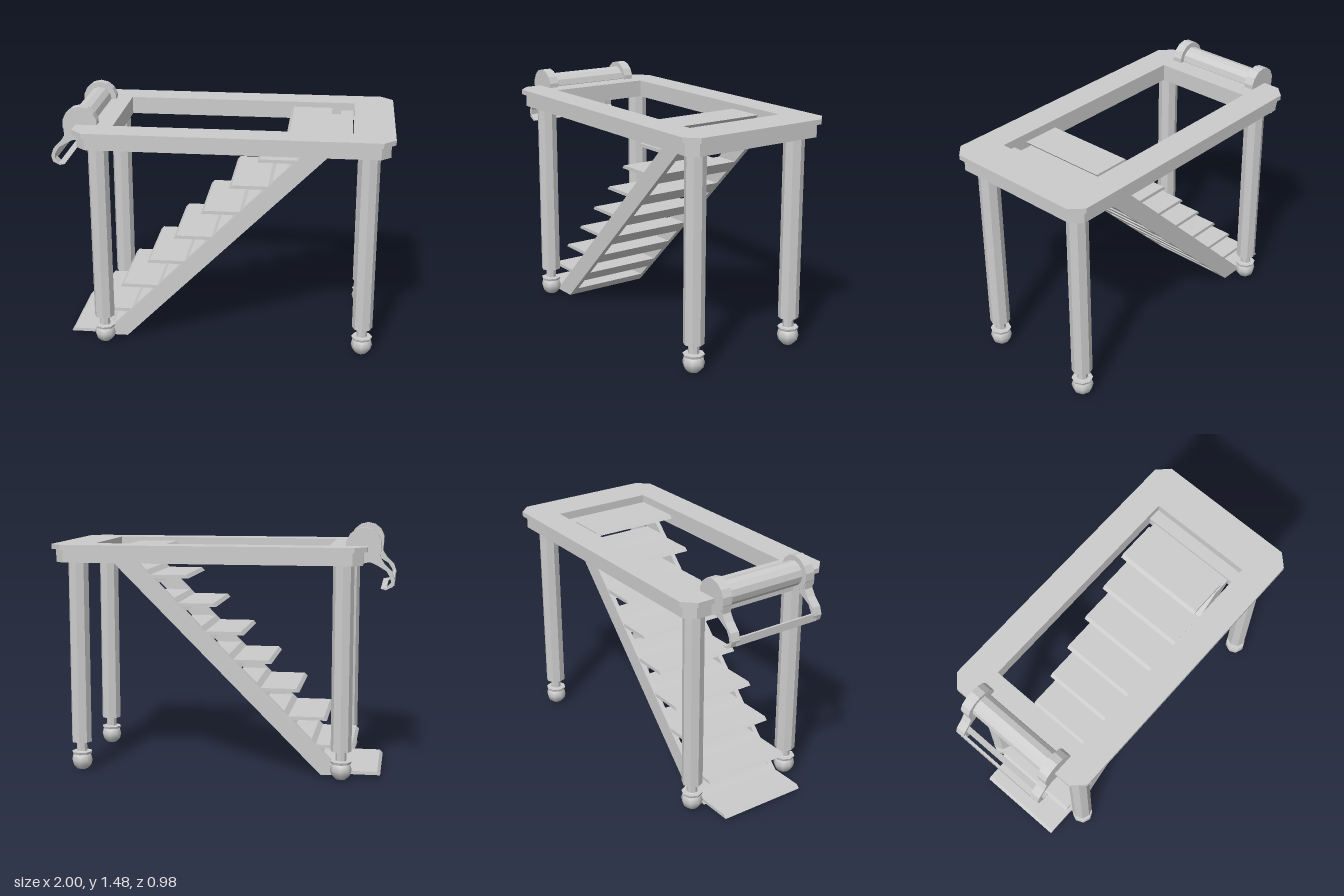
import * as THREE from 'three';

const flat = new THREE.MeshStandardMaterial({ color: 0xcccccc, flatShading: true });
const smooth = new THREE.MeshStandardMaterial({ color: 0xcccccc });

function add(parent, name, geometry, x = 0, y = 0, z = 0, material = flat) {
  const mesh = new THREE.Mesh(geometry, material);
  mesh.name = name;
  mesh.position.set(x, y, z);
  parent.add(mesh);
  return mesh;
}

const toShape = (pts) => new THREE.Shape(pts.map(([x, y]) => new THREE.Vector2(x, y)));

// Side profile in x/y, extruded from z0 to z1
function slab(pts, z0, z1) {
  const g = new THREE.ExtrudeGeometry(toShape(pts), { depth: z1 - z0, bevelEnabled: false });
  return g.translate(0, 0, z0);
}

// Rectangular ring with cut corners and a rectangular opening
function ring(x0, x1, halfZ, cut, y0, y1) {
  const s = toShape([
    [x0 + cut, -halfZ], [x1 - cut, -halfZ], [x1, -halfZ + cut], [x1, halfZ - cut],
    [x1 - cut, halfZ], [x0 + cut, halfZ], [x0, halfZ - cut], [x0, -halfZ + cut],
  ]);
  s.holes.push(toShape([[-0.625, -0.315], [-0.625, 0.315], [0.76, 0.315], [0.76, -0.315]]));
  const g = new THREE.ExtrudeGeometry(s, { depth: y1 - y0, bevelEnabled: false });
  return g.rotateX(-Math.PI / 2).translate(0, y0, 0);
}

function createLeg(x, z) {
  const leg = new THREE.Group();
  leg.name = 'leg';
  leg.position.set(x, 0, z);
  add(leg, 'post', new THREE.CylinderGeometry(0.061, 0.061, 1.1, 8), 0, 0.73, 0);
  add(leg, 'neck', new THREE.CylinderGeometry(0.032, 0.032, 0.08, 8), 0, 0.15, 0);
  add(leg, 'collar', new THREE.CylinderGeometry(0.063, 0.058, 0.015, 8), 0, 0.112, 0);
  add(leg, 'ballFoot', new THREE.SphereGeometry(0.064, 8, 6), 0, 0.068, 0, smooth);
  return leg;
}

// x of the two sloping edges of a stringer at height y
const stringerTop = (y) => y - 0.75;
const stringerBottom = (y) => y - 0.597;

function createStairs() {
  const stairs = new THREE.Group();
  stairs.name = 'stairs';
  const band = (y0, y1) => [
    [stringerTop(y0), y0], [stringerBottom(y0), y0],
    [stringerBottom(y1), y1], [stringerTop(y1), y1],
  ];
  for (const side of [-1, 1]) {
    const c = side * 0.265;
    add(stairs, 'stringer', slab(band(0.012, 1.315), c - 0.015, c + 0.015));
  }
  for (let i = 0; i < 9; i++) {
    const y = Math.max(0.032, 1.18 + 0.166 * (i - 7));
    const front = y - 0.97;
    const back = stringerTop(y) + 0.03;
    // thin tread with slanted ends
    add(stairs, 'tread', slab([
      [front, y - 0.01], [back - 0.018, y - 0.01], [back, y + 0.01], [front + 0.018, y + 0.01],
    ], -0.275, 0.275));
    // cross slat between the stringers
    add(stairs, 'slat', slab(band(Math.max(0.012, y - 0.038), Math.min(1.315, y + 0.037)), -0.25, 0.25));
  }
  add(stairs, 'topBar', new THREE.BoxGeometry(0.075, 0.06, 0.63), 0.718, 1.3, 0);
  return stairs;
}

function createRoller() {
  const roller = new THREE.Group();
  roller.name = 'roller';
  const x = -0.82, y = 1.38;
  const alongZ = (r, len, sides) => new THREE.CylinderGeometry(r, r, len, sides).rotateX(Math.PI / 2);
  add(roller, 'drum', alongZ(0.072, 0.52, 12), x, y, 0);
  // curved arm ending in a hook
  const arm = [
    [-0.92, 1.37], [-0.915, 1.31], [-0.94, 1.27], [-0.985, 1.225], [-1, 1.18], [-0.99, 1.145],
    [-0.95, 1.125], [-0.92, 1.133], [-0.955, 1.14], [-0.978, 1.165], [-0.975, 1.195],
    [-0.95, 1.235], [-0.9, 1.265], [-0.87, 1.28], [-0.82, 1.29], [-0.82, 1.37],
  ];
  for (const side of [-1, 1]) {
    const c = side * 0.284;
    add(roller, 'endDisc', alongZ(0.103, 0.06, 14), x, y, c);
    add(roller, 'hookArm', slab(arm, c - 0.028, c + 0.028));
  }
  // bars joining the two hooks
  add(roller, 'outerBar', new THREE.BoxGeometry(0.014, 0.045, 0.56), -0.99, 1.17, 0);
  add(roller, 'hookBar', slab([[-0.95, 1.125], [-0.92, 1.133], [-0.955, 1.14]], -0.28, 0.28));
  return roller;
}

export function createModel() {
  const model = new THREE.Group();
  model.name = 'stairPlatform';

  // stepped frame around the stair opening
  add(model, 'frameLip', ring(-0.845, 0.998, 0.488, 0.07, 1.348, 1.377));
  add(model, 'frameBody', ring(-0.82, 0.973, 0.463, 0.055, 1.272, 1.348));

  for (const x of [-0.71, 0.857]) {
    for (const z of [-0.348, 0.348]) model.add(createLeg(x, z));
  }
  model.add(createStairs(), createRoller());
  return model;
}
